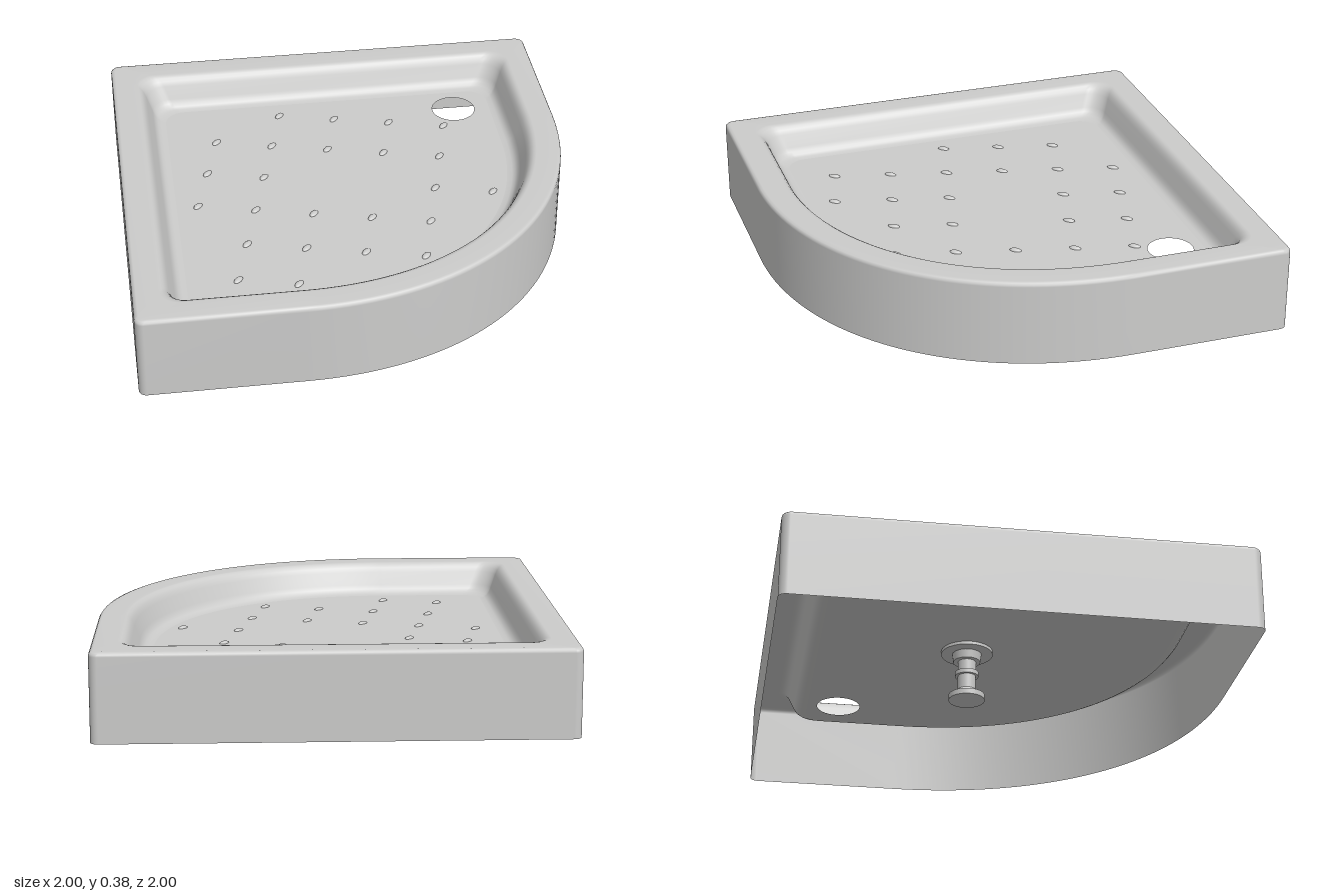
import * as THREE from 'three';

const FLOOR_Y = 0.238;

// Plan outline inset by d: three rounded corners and one broad curved corner. Returns [x, z] pairs.
function outline(d, r) {
  const e = 1 - d, c = e - r, pts = [];
  const corner = (cx, cz, start) => {
    for (let i = 0; i <= 8; i++) {
      const a = start + (i / 8) * Math.PI / 2;
      pts.push([cx + r * Math.cos(a), cz + r * Math.sin(a)]);
    }
  };
  corner(-c, -c, Math.PI);
  corner(c, -c, Math.PI * 1.5);
  const bow = new THREE.CubicBezierCurve(
    new THREE.Vector2(1, -0.3), new THREE.Vector2(1, 0.46),
    new THREE.Vector2(0.46, 1), new THREE.Vector2(-0.3, 1));
  for (let i = 0; i <= 40; i++) {
    const p = bow.getPoint(i / 40), t = bow.getTangent(i / 40);
    pts.push([p.x - t.y * d, p.y + t.x * d]);
  }
  corner(-c, c, Math.PI / 2);
  return pts;
}

// Skin through the outlines of a profile of [inset, height, corner radius]
function shellGeometry(profile) {
  const pos = [], index = [];
  let n = 0;
  profile.forEach(([d, y, r], k) => {
    const ring = outline(d, r);
    n = ring.length;
    ring.forEach(([x, z]) => pos.push(x, y, z));
    if (k === 0) return;
    for (let j = 0; j < n; j++) {
      const a = (k - 1) * n + j, b = (k - 1) * n + (j + 1) % n;
      index.push(a, a + n, b, b, a + n, b + n);
    }
  });
  const g = new THREE.BufferGeometry();
  g.setAttribute('position', new THREE.Float32BufferAttribute(pos, 3));
  g.setIndex(index);
  g.computeVertexNormals();
  return g;
}

export function createModel() {
  const model = new THREE.Group();
  model.name = 'showerTray';
  const enamel = new THREE.MeshStandardMaterial({ color: 0xcccccb, side: THREE.DoubleSide });
  enamel.name = 'light grey enamel';
  const add = (geometry, name, parent = model) => {
    const mesh = new THREE.Mesh(geometry, enamel);
    mesh.name = name;
    parent.add(mesh);
    return mesh;
  };

  // Outer skirt, rim and sloping basin wall
  const profile = [
    [0, 0, 0.035], [0, 0.36, 0.035], [0.002, 0.369, 0.035], [0.007, 0.376, 0.035], [0.018, 0.38, 0.035],
    [0.11, 0.38, 0.09], [0.122, 0.378, 0.09], [0.134, 0.371, 0.09], [0.145, 0.358, 0.09],
    [0.155, 0.338, 0.09], [0.178, 0.28, 0.09], [0.187, 0.261, 0.09], [0.199, 0.248, 0.09],
    [0.213, 0.241, 0.09], [0.235, FLOOR_Y, 0.09],
  ];
  add(shellGeometry(profile), 'skirtRimAndBasin');

  // Floor with the drain hole
  const shape = new THREE.Shape(outline(0.235, 0.09).map(([x, z]) => new THREE.Vector2(x, -z)));
  shape.holes.push(new THREE.Path().absarc(0.595, 0.62, 0.1, 0, Math.PI * 2, true));
  const floor = add(new THREE.ShapeGeometry(shape, 24), 'floor');
  floor.rotation.x = -Math.PI / 2;
  floor.position.y = FLOOR_Y;

  // Anti-slip studs on a slanted lattice: row -> columns
  const studs = new THREE.Group();
  studs.name = 'antiSlipStuds';
  model.add(studs);
  const studGeometry = new THREE.SphereGeometry(1, 16, 6, 0, Math.PI * 2, 0, Math.PI / 2);
  const rows = [
    [-2, [-1, 0, 1, 2]], [-1, [-2, -1, 0, 1, 2]], [0, [-2, -1, 2, 3]],
    [1, [-2, -1, 0, 1, 2]], [2, [-1, 0, 1, 2]], [3, [-1, 0]],
  ];
  for (const [v, columns] of rows) {
    for (const u of columns) {
      const stud = add(studGeometry, 'stud', studs);
      stud.scale.set(0.027, 0.01, 0.015);
      stud.rotation.y = 0.9;
      stud.position.set(-0.105 + 0.251 * u - 0.063 * v, FLOOR_Y, -0.105 + 0.063 * u + 0.251 * v);
    }
  }

  // Turned support foot under the floor, built from stacked discs
  const foot = new THREE.Group();
  foot.name = 'supportFoot';
  foot.position.set(-0.09, 0, -0.11);
  model.add(foot);
  const discs = [
    ['footPad', 0.08, 0.08, 0, 0.025], ['footCone', 0.04, 0.065, 0.025, 0.05],
    ['stem', 0.04, 0.04, 0.05, 0.22], ['lockNut', 0.052, 0.052, 0.115, 0.135],
    ['collar', 0.065, 0.06, 0.185, 0.222], ['mountingFlange', 0.115, 0.115, 0.222, 0.236],
  ];
  for (const [name, top, bottom, y0, y1] of discs) {
    add(new THREE.CylinderGeometry(top, bottom, y1 - y0, 28), name, foot).position.y = (y0 + y1) / 2;
  }
  return model;
}
